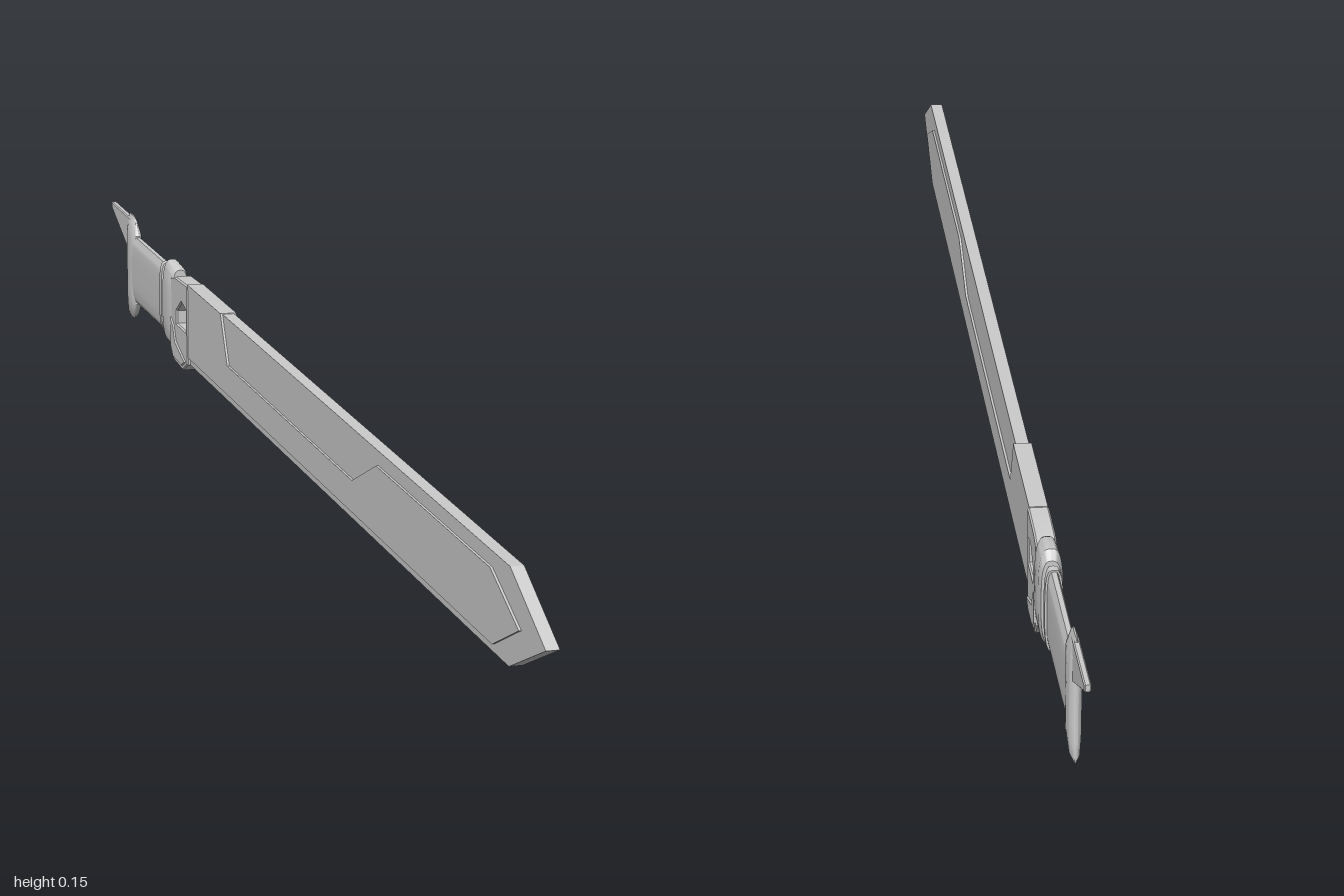
import * as THREE from 'three';
import { toCreasedNormals } from 'three/addons/utils/BufferGeometryUtils.js';

const material = new THREE.MeshStandardMaterial({ color: 0xcccccc });

function add(group, name, geometry) {
  const mesh = new THREE.Mesh(geometry, material);
  mesh.name = name;
  group.add(mesh);
}

const outline = (points) => points.map(([z, y]) => new THREE.Vector2(z, y));

// Side outline in (z, y), given thickness across x, with optional chamfer
function plate(points, halfWidth, bevel = 0, hole = null) {
  const shape = new THREE.Shape(outline(points));
  if (hole) shape.holes.push(new THREE.Path(outline(hole)));
  const depth = 2 * (halfWidth - bevel);
  const geometry = new THREE.ExtrudeGeometry(shape, {
    depth, bevelEnabled: bevel > 0, bevelThickness: bevel, bevelSize: bevel, bevelOffset: -bevel, bevelSegments: 1,
  });
  geometry.translate(0, 0, -depth / 2);
  geometry.rotateY(-Math.PI / 2);
  return toCreasedNormals(geometry, 0.4);
}

// Rounded cross-sections stacked from high to low: [position, centre, half height, half width]
function loft(sections, power, alongZ) {
  const rows = sections.length - 1;
  const geometry = new THREE.CylinderGeometry(1, 1, 1, 32, rows);
  const p = geometry.attributes.position;
  const soften = (v) => Math.sign(v) * Math.abs(v) ** power;
  for (let i = 0; i < p.count; i++) {
    const [pos, centre, long, wide] = sections[Math.round((0.5 - p.getY(i)) * rows)];
    const c = alongZ ? -centre : centre;
    p.setXYZ(i, soften(p.getX(i)) * wide, pos, c + soften(p.getZ(i)) * long);
  }
  if (alongZ) geometry.rotateX(Math.PI / 2);
  return toCreasedNormals(geometry, 0.6);
}

export function createModel() {
  const sword = new THREE.Group();
  sword.name = 'sword';

  // Blade core with a pointed tip
  add(sword, 'bladeCore', plate([
    [-0.515, 0.02], [0.88, 0.02], [1, 0.075], [0.88, 0.133], [-0.515, 0.133],
  ], 0.008));

  // Stepped raised panel on both faces
  add(sword, 'bladePanel', plate([
    [-0.515, 0.03], [0.83, 0.03], [0.92, 0.073], [0.82, 0.115], [0.39, 0.115],
    [0.29, 0.07], [-0.3, 0.07], [-0.335, 0.134], [-0.515, 0.134],
  ], 0.011));

  // Guard plate with a cut-out
  add(sword, 'guard', plate([
    [-0.512, 0.02], [-0.512, 0.133], [-0.58, 0.131], [-0.605, 0.125],
    [-0.605, 0.026], [-0.59, 0.009], [-0.54, 0.006],
  ], 0.0125, 0.002, [
    [-0.52, 0.066], [-0.52, 0.096], [-0.545, 0.102], [-0.572, 0.084], [-0.572, 0.066],
  ]));
  // Raised lower lip of the guard
  add(sword, 'guardLip', plate([
    [-0.52, 0.022], [-0.54, 0.012], [-0.588, 0.014], [-0.602, 0.028],
    [-0.602, 0.07], [-0.585, 0.06], [-0.575, 0.04],
  ], 0.0145, 0.002));

  // Collar behind the guard
  add(sword, 'collar', loft([
    [-0.598, 0.08, 0.056, 0.012], [-0.606, 0.08, 0.059, 0.0145],
    [-0.645, 0.082, 0.06, 0.0145], [-0.656, 0.08, 0.052, 0.012],
  ], 0.65, true));
  add(sword, 'collarNeck', loft([
    [-0.65, 0.081, 0.045, 0.008], [-0.667, 0.081, 0.045, 0.008],
    [-0.668, 0.081, 0.051, 0.0105], [-0.68, 0.081, 0.051, 0.0105],
  ], 0.6, true));

  // Grip
  add(sword, 'grip', loft([
    [-0.675, 0.081, 0.049, 0.008], [-0.86, 0.081, 0.049, 0.0075],
  ], 0.6, true));

  // Pommel, a rounded cross-piece
  add(sword, 'pommel', loft([
    [0.157, -0.884, 0.015, 0.001], [0.15, -0.88, 0.02, 0.004],
    [0.132, -0.873, 0.026, 0.008], [0.115, -0.874, 0.024, 0.0085],
    [0.05, -0.874, 0.024, 0.0085], [0.03, -0.873, 0.026, 0.008],
    [0.012, -0.88, 0.019, 0.006], [0.004, -0.884, 0.013, 0.002],
  ], 0.8, false));

  // Spike trailing from the pommel
  add(sword, 'pommelSpike', plate([
    [-0.88, 0.152], [-1, 0.153], [-1, 0.145], [-0.89, 0.1], [-0.87, 0.1],
  ], 0.004, 0.0015));

  return sword;
}
